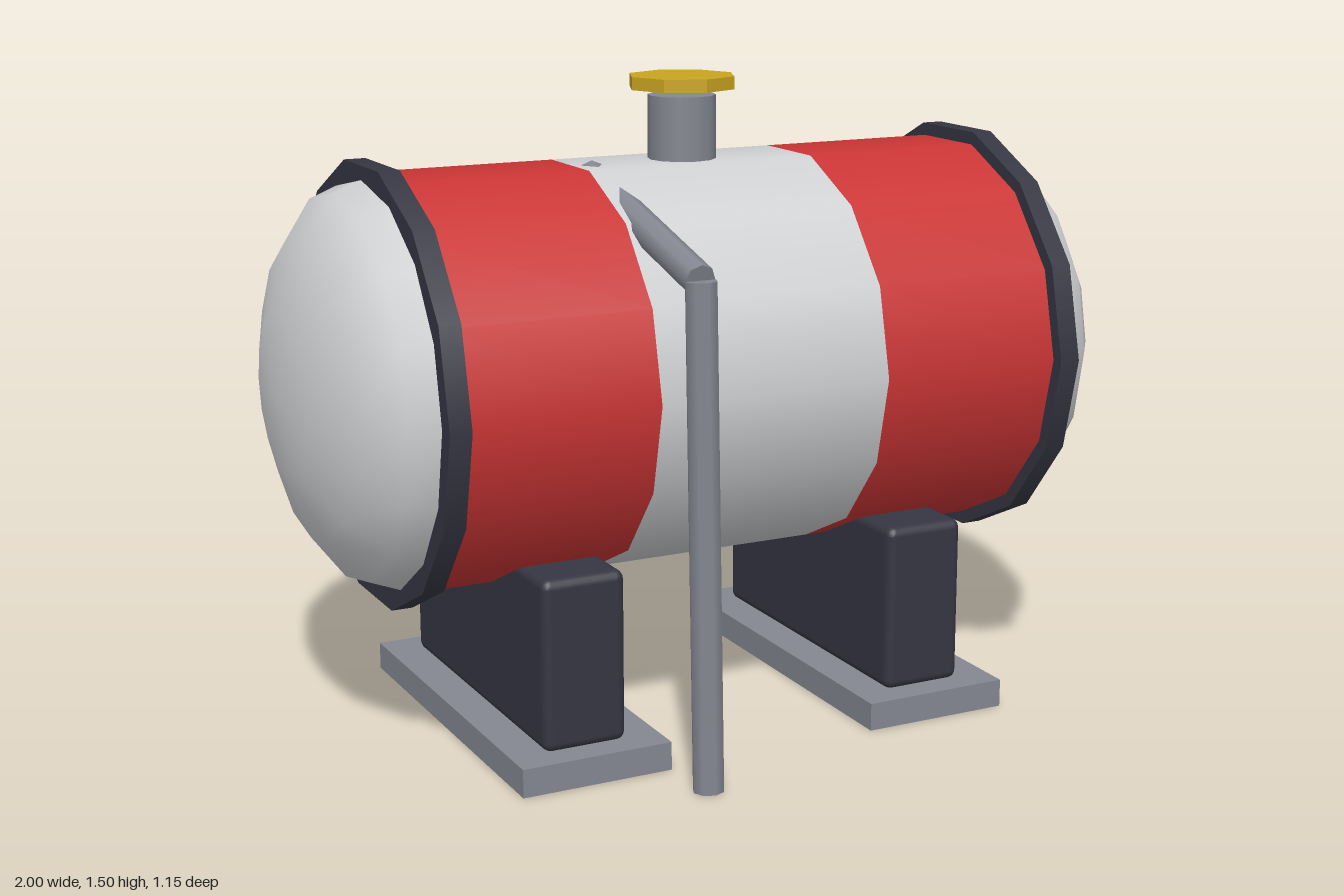
import * as THREE from 'three';
import { RoundedBoxGeometry } from 'three/addons/geometries/RoundedBoxGeometry.js';

const mat = (name, color, extra = {}) => {
  const m = new THREE.MeshStandardMaterial({ color, ...extra });
  m.name = name;
  return m;
};

export function createModel() {
  const white = mat('tank white', 0xd0d1d3);
  const red = mat('stripe red', 0xcb3535);
  const dark = mat('dark frame', 0x363643);
  const grey = mat('pipe grey', 0x848791);
  const yellow = mat('cap yellow', 0xc9a420, { flatShading: true });

  const group = new THREE.Group();
  group.name = 'storageTank';
  const axisY = 0.843, axisZ = -0.07;

  const add = (name, geometry, material, x, y, z) => {
    const mesh = new THREE.Mesh(geometry, material);
    mesh.name = name;
    mesh.position.set(x, y, z);
    group.add(mesh);
    return mesh;
  };

  // Fourteen-sided drum lying along x
  const drum = (name, x0, x1, radius, material, open) => {
    const g = new THREE.CylinderGeometry(radius, radius, x1 - x0, 14, 1, open).rotateZ(Math.PI / 2);
    add(name, g, material, (x0 + x1) / 2, axisY, axisZ);
  };

  // Straight pipe in the plane of constant x
  const pipe = (name, x, [y0, z0], [y1, z1]) => {
    const length = Math.hypot(y1 - y0, z1 - z0);
    const mesh = add(name, new THREE.CylinderGeometry(0.036, 0.036, length, 8), grey,
      x, (y0 + y1) / 2, (z0 + z1) / 2);
    mesh.rotation.x = Math.atan2(z1 - z0, y1 - y0);
  };

  // Tank body
  drum('tankMiddle', -0.285, 0.285, 0.476, white, true);

  for (const s of [-1, 1]) {
    const side = s > 0 ? 'left' : 'right';
    // Red section, end ring and domed end
    drum(side + 'Stripe', Math.min(s * 0.285, s * 0.76), Math.max(s * 0.285, s * 0.76), 0.476, red, true);
    drum(side + 'Ring', s * 0.76 - 0.025, s * 0.76 + 0.025, 0.507, dark, false);
    const dome = new THREE.SphereGeometry(1, 16, 8).rotateZ(Math.PI / 2).scale(0.24, 0.472, 0.472);
    add(side + 'Dome', dome, white, s * 0.76, axisY, axisZ);
    // Saddle support on its foot plate
    add(side + 'Saddle', new RoundedBoxGeometry(0.2, 0.4, 0.8, 2, 0.022), dark, s * 0.44, 0.262, -0.067);
    add(side + 'Foot', new THREE.BoxGeometry(0.36, 0.066, 0.925), grey, s * 0.44, 0.033, -0.067);
  }

  // Filler neck with a raised octagonal cap
  add('fillerNeck', new THREE.CylinderGeometry(0.08, 0.08, 0.2, 12), grey, 0, 1.355, axisZ);
  add('fillerCap', new THREE.CylinderGeometry(0.128, 0.128, 0.03, 8), yellow, 0, 1.485, axisZ);

  // Drain pipe from the tank down to the ground
  pipe('standPipe', -0.24, [0, 0.537], [1.13, 0.5]);
  pipe('outletPipe', -0.24, [1.13, 0.495], [1.283, -0.06]);

  return group;
}
